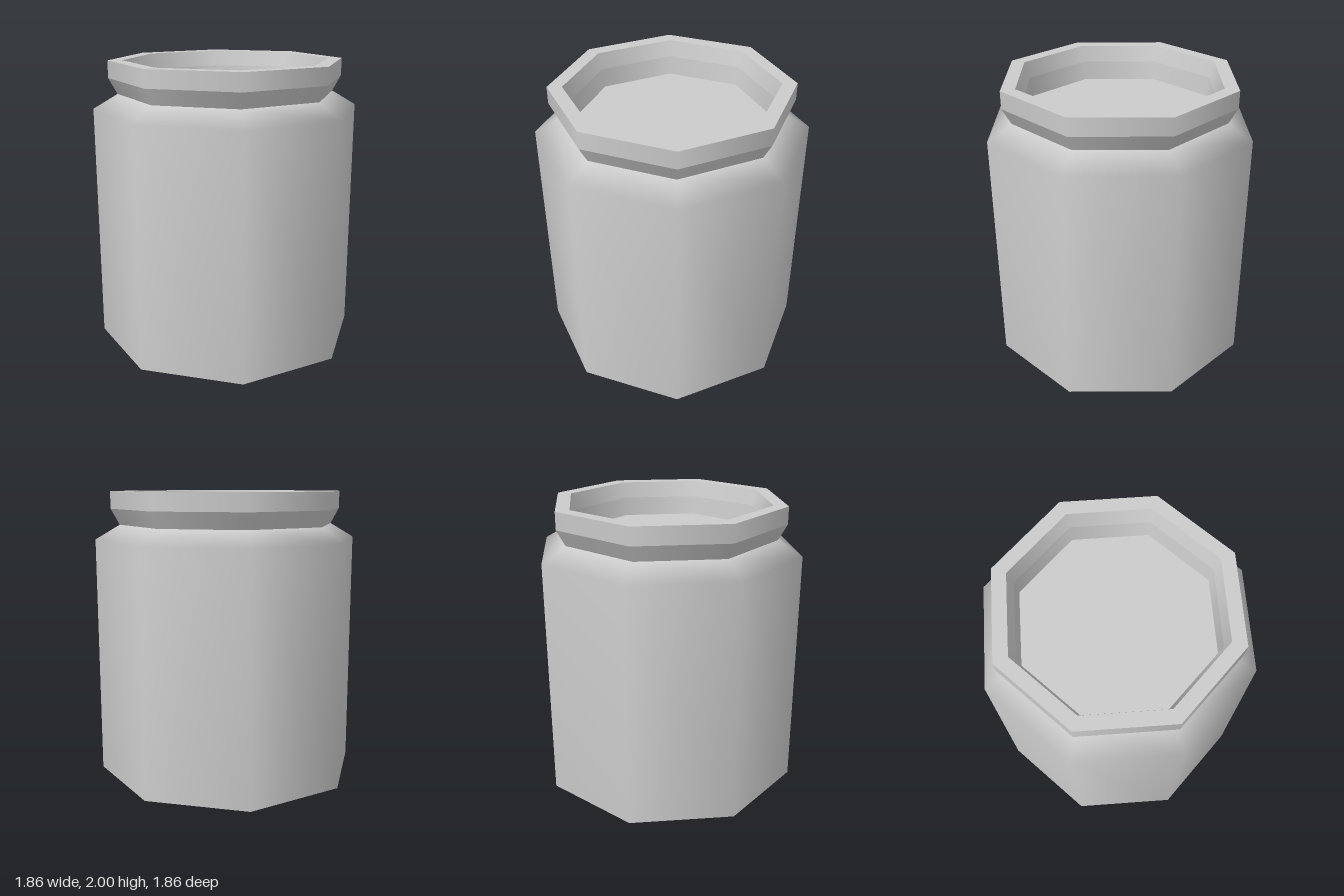
import * as THREE from 'three';

const SIDES = 8;

export function createModel() {
  const jar = new THREE.Group();
  jar.name = 'jar';
  const material = new THREE.MeshStandardMaterial({ color: 0xcccccc });

  // Each band is smooth in itself; edges between bands stay sharp.
  function addBand(name, profile, parent) {
    const points = profile.map(([r, y]) => new THREE.Vector2(r, y));
    const mesh = new THREE.Mesh(new THREE.LatheGeometry(points, SIDES), material);
    mesh.name = name;
    parent.add(mesh);
  }

  // Body: flat base, straight wall blending into the sloping shoulder
  const body = new THREE.Group();
  body.name = 'body';
  addBand('base', [[0, 0], [0.93, 0]], body);
  addBand('wallAndShoulder', [[0.93, 0], [0.93, 1.67], [0.76, 1.77]], body);

  // Rim: flared neck, upright lip, flat top and tapering inner wall
  const rim = new THREE.Group();
  rim.name = 'rim';
  addBand('neck', [[0.76, 1.77], [0.82, 1.88]], rim);
  addBand('lip', [[0.82, 1.88], [0.82, 2]], rim);
  addBand('lipTop', [[0.82, 2], [0.72, 2]], rim);
  addBand('innerLip', [[0.72, 2], [0.685, 1.89]], rim);
  addBand('innerNeck', [[0.685, 1.89], [0.665, 1.76]], rim);

  // Recessed floor closing the mouth
  addBand('recessedFloor', [[0.665, 1.76], [0, 1.76]], rim);

  jar.add(body, rim);
  return jar;
}
